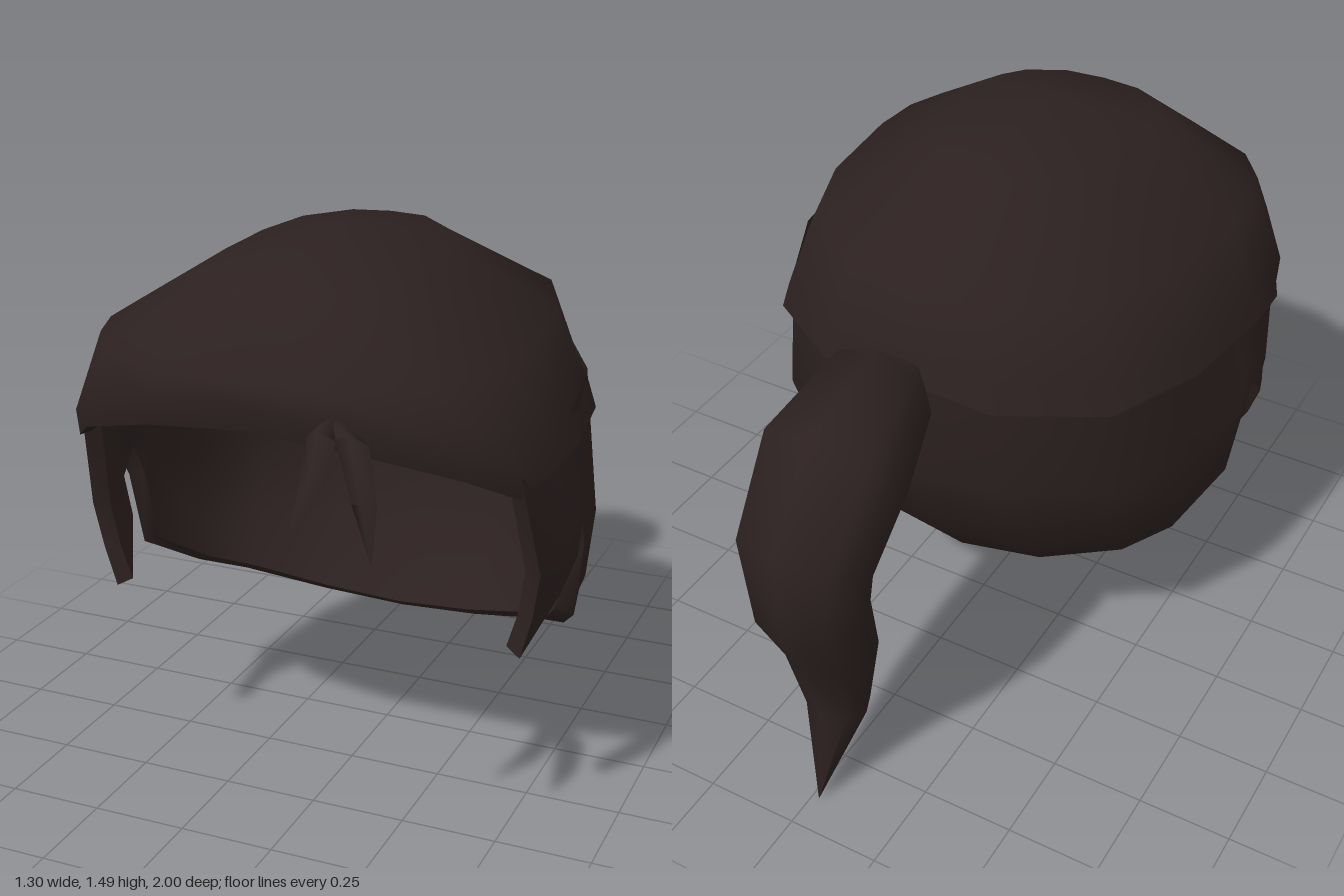
import * as THREE from 'three';
import { toCreasedNormals } from 'three/addons/utils/BufferGeometryUtils.js';

const hair = new THREE.MeshStandardMaterial({ color: 0x2c2120, side: THREE.DoubleSide });
hair.name = 'darkBrownHair';

// Skin a grid of points: rows of equal length, optionally closed around
function skin(name, rows, closed = true, crease = 1.05) {
  const n = rows[0].length, pos = [];
  const same = (p, q) => p.every((v, i) => Math.abs(v - q[i]) < 1e-6);
  const tri = (a, b, c) => {
    if (!same(a, b) && !same(b, c) && !same(a, c)) pos.push(...a, ...b, ...c);
  };
  for (let r = 0; r < rows.length - 1; r++) {
    for (let c = 0; c < (closed ? n : n - 1); c++) {
      const d = (c + 1) % n;
      tri(rows[r][c], rows[r + 1][c], rows[r + 1][d]);
      tri(rows[r][c], rows[r + 1][d], rows[r][d]);
    }
  }
  const geo = new THREE.BufferGeometry();
  geo.setAttribute('position', new THREE.Float32BufferAttribute(pos, 3));
  const mesh = new THREE.Mesh(toCreasedNormals(geo, crease), hair);
  mesh.name = name;
  return mesh;
}

// Loft oval sections [centre x, upper y, upper z, lower y, lower z, half width]
function lock(name, sections, sides, dir) {
  const rows = sections.map(([x, y1, z1, y2, z2, w]) =>
    Array.from({ length: sides }, (_, i) => {
      const t = dir * i / sides * Math.PI * 2, s = Math.sin(t) / 2;
      return [x + w * Math.cos(t), (y1 + y2) / 2 + (y1 - y2) * s, (z1 + z2) / 2 + (z1 - z2) * s];
    }));
  return skin(name, rows, true, 1.6);
}

const flip = ([x, y, z]) => [-x, y, z];

// Domed cap with a hollow underside and a rim that rises at the fringe
function crown() {
  const half = [
    [0, 1.115, 0.805], [0.255, 1.09, 0.785], [0.485, 1.02, 0.68], [0.58, 0.95, 0.565],
    [0.625, 0.985, 0.45], [0.632, 1.0, 0.3], [0.59, 1.0, 0], [0.48, 1.0, -0.25],
    [0.24, 1.02, -0.41], [0, 1.05, -0.435],
  ];
  const rim = [...half, ...half.slice(1, -1).reverse().map(flip)];
  const cz = 0.19;
  const ring = (sx, sz, z0, y, tilt) => rim.map(([x, , z]) => {
    const dz = (z - cz) * sz;
    return [x * sx, y - tilt * dz, z0 + dz];
  });
  const apex = (y) => rim.map(() => [0, y, 0.3]);
  // The fringe bulges forward just above its edge; elsewhere the cap tapers
  const brow = rim.map(([x, y, z]) => (z > 0.5
    ? [x, y + 0.07, cz + (z - cz) * 1.03]
    : [x * 0.965, y + 0.07, cz + (z - cz) * 0.97]));
  const mesh = skin('crown', [
    apex(1.485),
    ring(0.42, 0.57, 0.29, 1.412, 0.08),
    ring(0.84, 0.955, 0.23, 1.25, 0.04),
    brow,
    rim,
    rim.map(([x, y, z]) => [x * 0.95, y + 0.01, cz + (z - cz) * 0.95]),
    ring(0.79, 0.89, 0.23, 1.215, 0.04),
    ring(0.4, 0.53, 0.29, 1.37, 0.08),
    apex(1.44),
  ]);
  mesh.position.x = -0.018;
  return mesh;
}

// Sides and back: each column runs top, middle, low, hem; sideburn comes first
function sidesAndBack() {
  const half = [
    [[0.575, 1.0, 0.57], [0.605, 0.74, 0.50], [0.585, 0.62, 0.49], [0.555, 0.51, 0.485]],
    [[0.595, 1.03, 0.45], [0.63, 0.77, 0.41], [0.625, 0.70, 0.39], [0.615, 0.64, 0.37]],
    [[0.60, 1.05, 0.38], [0.645, 0.83, 0.36], [0.65, 0.78, 0.355], [0.65, 0.74, 0.35]],
    [[0.60, 1.07, 0.31], [0.635, 0.88, 0.305], [0.643, 0.84, 0.30], [0.645, 0.81, 0.30]],
    [[0.595, 1.08, 0.25], [0.635, 0.84, 0.26], [0.64, 0.78, 0.26], [0.64, 0.73, 0.26]],
    [[0.59, 1.09, 0.2], [0.632, 0.74, 0.24], [0.63, 0.63, 0.24], [0.615, 0.53, 0.24]],
    [[0.555, 1.1, 0], [0.60, 0.73, 0.02], [0.585, 0.55, 0.04], [0.54, 0.42, 0.07]],
    [[0.445, 1.1, -0.23], [0.485, 0.73, -0.22], [0.48, 0.51, -0.14], [0.44, 0.37, -0.03]],
    [[0.22, 1.1, -0.37], [0.25, 0.74, -0.37], [0.245, 0.49, -0.28], [0.23, 0.31, -0.11]],
    [[0, 1.12, -0.395], [0, 0.74, -0.40], [0, 0.49, -0.31], [0, 0.285, -0.14]],
  ];
  const outer = [...half, ...half.slice(0, -1).reverse().map((col) => col.map(flip))];
  const inset = ([x, y, z], r) => [x * 0.93, y + (r === 3 ? 0.02 : 0), 0.25 + (z - 0.25) * 0.94];
  const inner = outer.map((col) => col.map(inset));
  const loop = [...outer, ...[...inner].reverse()];
  const group = new THREE.Group();
  group.name = 'sidesAndBack';
  group.add(
    skin('hairWall', [0, 1, 2, 3].map((r) => loop.map((col) => col[r]))),
    skin('hem', [outer.map((col) => col[3]), inner.map((col) => col[3])], false),
  );
  group.position.x = -0.01;
  return group;
}

export function createModel() {
  const model = new THREE.Group();
  model.name = 'hair';
  model.add(crown(), sidesAndBack());

  // Ponytail, from the root inside the cap to the pointed tip
  const x = -0.02;
  model.add(lock('ponytail', [
    [x, 1.06, -0.34, 1.06, -0.34, 0],
    [x, 1.12, -0.345, 1.01, -0.345, 0.055],
    [x, 1.11, -0.42, 1.005, -0.425, 0.055],
    [x, 1.215, -0.54, 0.96, -0.55, 0.15],
    [x, 1.145, -0.83, 0.87, -0.64, 0.2],
    [x, 0.92, -1.0, 0.755, -0.745, 0.18],
    [x, 0.63, -0.99, 0.66, -0.735, 0.15],
    [x, 0.46, -0.905, 0.46, -0.69, 0.125],
    [x, 0.28, -0.865, 0.25, -0.71, 0.085],
    [x, 0, -0.905, 0, -0.905, 0],
  ], 8, 1));

  // Two loose strands at the fringe
  model.add(lock('innerStrand', [
    [0.19, 1.17, 0.78, 1.14, 0.78, 0.02],
    [0.215, 1.175, 0.90, 1.13, 0.87, 0.035],
    [0.22, 1.08, 0.965, 1.06, 0.92, 0.03],
    [0.19, 0.97, 1.0, 0.97, 1.0, 0],
  ], 4, -1));
  model.add(lock('outerStrand', [
    [0.2, 1.17, 0.78, 1.14, 0.78, 0.02],
    [0.285, 1.175, 0.90, 1.13, 0.86, 0.04],
    [0.34, 1.05, 0.965, 1.03, 0.92, 0.03],
    [0.365, 0.915, 0.965, 0.915, 0.965, 0],
  ], 4, -1));
  return model;
}
